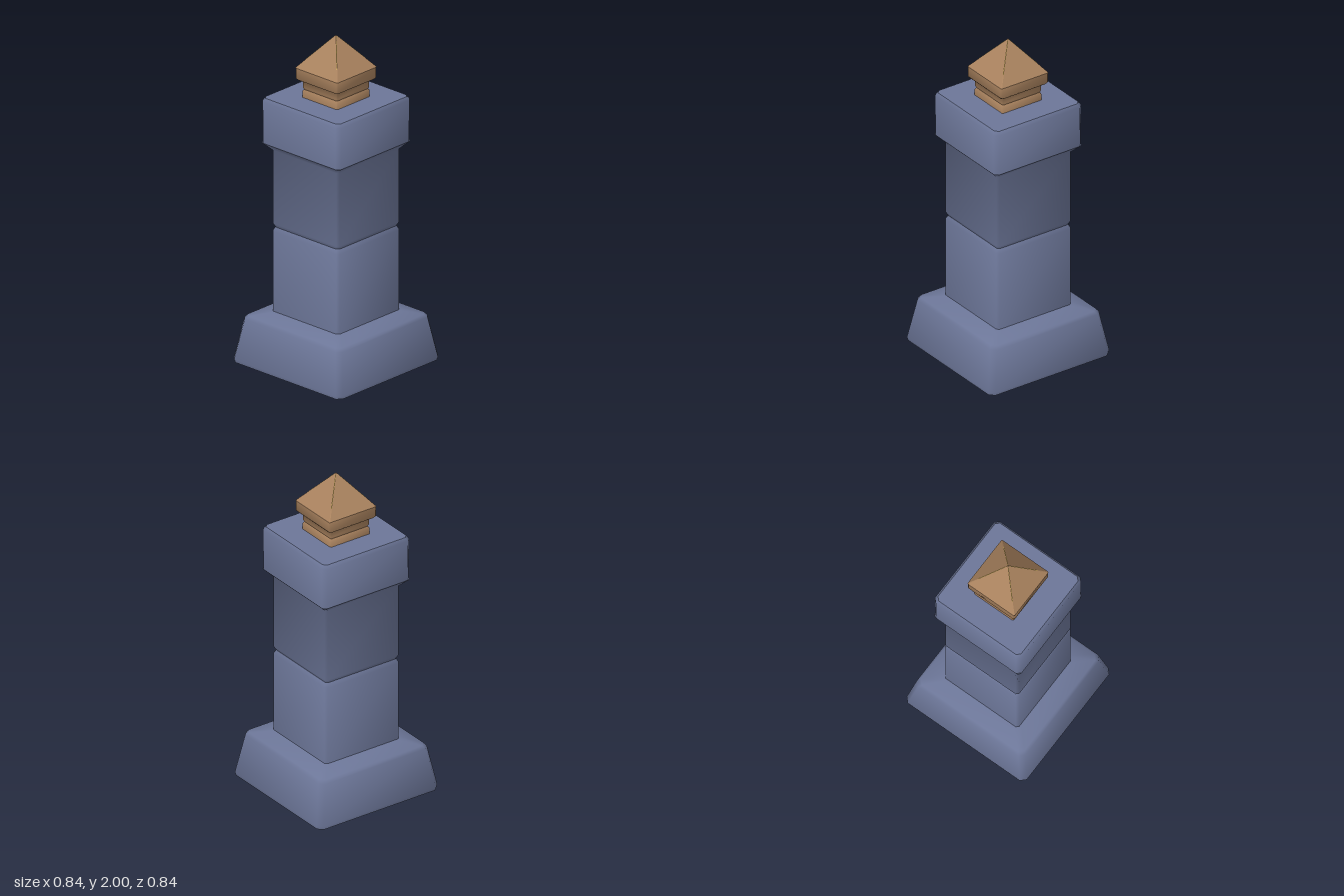
import * as THREE from 'three';

const material = (name, color) =>
  new THREE.MeshStandardMaterial({ name, color, side: THREE.DoubleSide });

// Square cross-section with cut corners, lofted along a [half-width, height] profile.
// Smooth normals average the neighbouring profile slopes; flat ones follow each face.
function loft(profile, cut, flat = false) {
  const slopes = [];
  for (let i = 0; i < profile.length - 1; i++) {
    const [r0, y0] = profile[i], [r1, y1] = profile[i + 1];
    slopes.push(new THREE.Vector2(y1 - y0, r0 - r1).normalize());
  }
  const pos = [], nor = [], index = [];
  profile.forEach(([r, y], i) => {
    const slope = new THREE.Vector2()
      .add(slopes[Math.max(i - 1, 0)])
      .add(slopes[Math.min(i, slopes.length - 1)])
      .normalize();
    const c = Math.min(cut, r * 0.5);
    for (let k = 0; k < 8; k++) {
      const side = Math.floor(k / 2) * Math.PI / 2;
      const t = (k % 2 ? 1 : -1) * (r - c);
      const cs = Math.cos(side), sn = Math.sin(side);
      pos.push(r * cs - t * sn, y, r * sn + t * cs);
      const a = side + (k % 2 ? 1 : -1) * Math.PI / 8;
      nor.push(slope.x * Math.cos(a), slope.y, slope.x * Math.sin(a));
    }
  });
  for (let i = 0; i < profile.length - 1; i++) {
    for (let k = 0; k < 8; k++) {
      const a = i * 8 + k, b = i * 8 + (k + 1) % 8;
      index.push(a, a + 8, b, a + 8, b + 8, b);
    }
  }
  let geo = new THREE.BufferGeometry();
  geo.setAttribute('position', new THREE.Float32BufferAttribute(pos, 3));
  geo.setAttribute('normal', new THREE.Float32BufferAttribute(nor, 3));
  geo.setIndex(index);
  if (flat) {
    geo = geo.toNonIndexed();
    geo.computeVertexNormals();
  }
  return geo;
}

export function createModel() {
  const model = new THREE.Group();
  model.name = 'pillar';
  const stone = material('slate stone', 0x6c7698);
  const bronze = material('bronze', 0xa9825e);
  const gold = material('gold edge', 0xe0c060);

  const add = (name, geo, mat, parent = model) => {
    const mesh = new THREE.Mesh(geo, mat);
    mesh.name = name;
    parent.add(mesh);
    return mesh;
  };

  // Hollow flared foot, open underneath
  add('base', loft([[0.417, 0], [0.422, 0.02], [0.38, 0.265], [0.365, 0.283], [0.26, 0.31]], 0.028), stone);

  // Shaft in two blocks that meet at a shallow groove
  add('lowerShaft', loft([[0.26, 0.31], [0.26, 0.8], [0.247, 0.825]], 0.014), stone);
  add('upperShaft', loft([[0.247, 0.825], [0.26, 0.85], [0.26, 1.3], [0.304, 1.345]], 0.014), stone);

  // Capital with a softened rim and flat top
  add('capitalSides', loft([[0.304, 1.345], [0.306, 1.6], [0.292, 1.62]], 0.024), stone);
  add('capitalTop', loft([[0.292, 1.62], [0.001, 1.62]], 0.02), stone);

  // Finial: foot band, recessed neck, pyramid head
  const finial = new THREE.Group();
  finial.name = 'finial';
  model.add(finial);
  add('finialFoot', loft([[0.138, 1.62], [0.138, 1.655], [0.13, 1.668]], 0.006), bronze, finial);
  add('finialNeck', loft([[0.13, 1.668], [0.136, 1.68], [0.136, 1.715], [0.155, 1.726]], 0.006), bronze, finial);
  add('finialRim', loft([[0.155, 1.726], [0.165, 1.738], [0.165, 1.8]], 0.008), bronze, finial);
  add('finialPyramid', loft([[0.165, 1.8], [0.0005, 2]], 0.004, true), bronze, finial);

  // Hairline gilded ridges on the pyramid
  for (let i = 0; i < 4; i++) {
    const sx = i % 2 ? 1 : -1, sz = i < 2 ? 1 : -1;
    const ridge = new THREE.LineCurve3(
      new THREE.Vector3(sx * 0.118, 1.8545, sz * 0.118),
      new THREE.Vector3(sx * 0.004, 1.993, sz * 0.004));
    add('finialRidge', new THREE.TubeGeometry(ridge, 1, 0.0022, 5), gold, finial);
  }
  return model;
}
